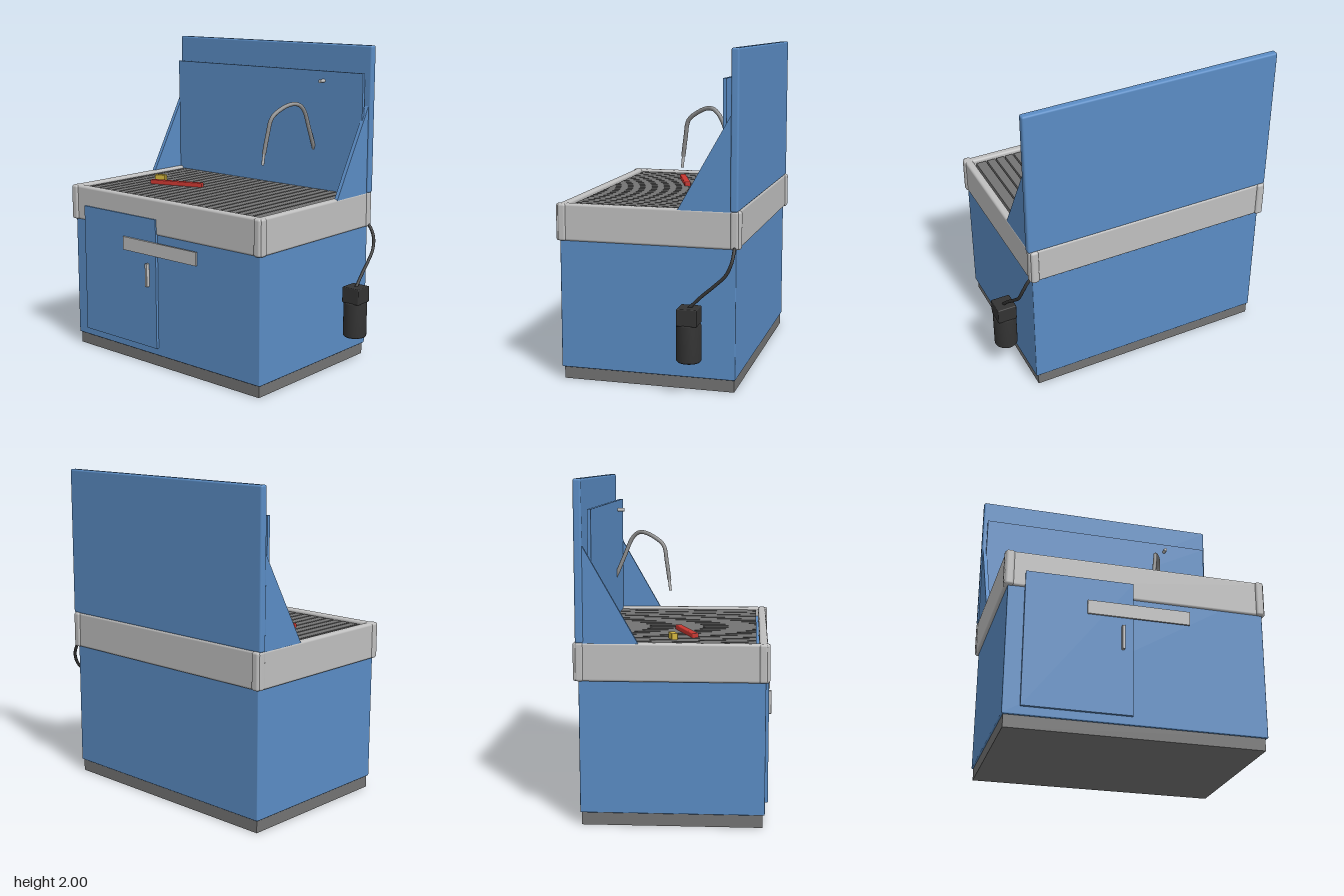
import * as THREE from 'three';
import { RoundedBoxGeometry } from 'three/addons/geometries/RoundedBoxGeometry.js';

const mat = (name, color) => {
  const m = new THREE.MeshStandardMaterial({ color });
  m.name = name;
  return m;
};

export function createModel() {
  const blue = mat('blue panel', 0x5a8cc4);
  const steel = mat('light grey', 0xbfbfbf);
  const grey = mat('dark grey', 0x737373);
  const hoseGrey = mat('hose grey', 0x8f8f8f);
  const black = mat('black', 0x333333);
  const red = mat('red', 0xc83630);
  const yellow = mat('yellow', 0xd2b43c);

  const model = new THREE.Group();
  model.name = 'partsWasher';

  const add = (name, geometry, material) => {
    const mesh = new THREE.Mesh(geometry, material);
    mesh.name = name;
    model.add(mesh);
    return mesh;
  };
  // Box from its limits, with optional rounded edges
  const box = (name, material, [x0, x1], [y0, y1], [z0, z1], r = 0) => {
    const size = [x1 - x0, y1 - y0, z1 - z0];
    const g = r ? new RoundedBoxGeometry(...size, 3, r) : new THREE.BoxGeometry(...size);
    const mesh = add(name, g, material);
    mesh.position.set((x0 + x1) / 2, (y0 + y1) / 2, (z0 + z1) / 2);
    return mesh;
  };
  const tube = (name, material, points, r) => {
    const curve = new THREE.CatmullRomCurve3(points.map((p) => new THREE.Vector3(...p)));
    return add(name, new THREE.TubeGeometry(curve, 48, r, 12), material);
  };

  // Cabinet
  box('plinth', grey, [-0.85, 0.695], [0, 0.08], [-0.535, 0.515]);
  box('cabinet', blue, [-0.86, 0.71], [0.075, 1.02], [-0.543, 0.528], 0.006);
  box('door', blue, [-0.76, -0.112], [0.125, 0.955], [0.525, 0.546]);
  box('doorHandle', steel, [-0.185, -0.167], [0.52, 0.67], [0.546, 0.572], 0.004);
  box('frontPlate', steel, [-0.39, 0.235], [0.725, 0.81], [0.546, 0.558]);

  // Rim of crossing boards
  const rimY = [0.855, 1.08];
  box('frontRail', steel, [-0.885, 0.73], rimY, [0.487, 0.537], 0.015);
  box('backRail', steel, [-0.885, 0.73], rimY, [-0.56, -0.51], 0.015);
  box('rightRail', steel, [-0.88, -0.828], rimY, [-0.572, 0.55], 0.015);
  box('leftRail', steel, [0.672, 0.722], rimY, [-0.572, 0.55], 0.015);

  // Tray and grate slats
  box('tray', steel, [-0.813, 0.657], [1.01, 1.035], [-0.51, 0.472]);
  const pitch = 0.0624, gap = 0.01, first = -0.785;
  for (let i = 0; i <= 23; i++) {
    const x0 = Math.max(-0.813, first + (i - 1) * pitch + gap / 2);
    const x1 = i === 23 ? 0.657 : first + i * pitch - gap / 2;
    box('grateSlat', grey, [x0, x1], [1.03, 1.065], [-0.5, 0.472]);
  }

  // Splash back and side wings
  box('backBoard', blue, [-0.885, 0.735], [1.075, 2], [-0.557, -0.51], 0.012);
  box('innerPanel', blue, [-0.86, 0.708], [1.04, 1.83], [-0.48, -0.46]);
  const wingShape = new THREE.Shape([
    new THREE.Vector2(-0.515, 1.07),
    new THREE.Vector2(-0.195, 1.07),
    new THREE.Vector2(-0.515, 1.635),
  ]);
  for (const [name, x] of [['rightWing', -0.852], ['leftWing', 0.72]]) {
    const wing = add(name, new THREE.ExtrudeGeometry(wingShape, { depth: 0.025, bevelEnabled: false }), blue);
    wing.rotation.y = -Math.PI / 2;
    wing.position.x = x;
  }

  // Switch knob on the panel
  const knob = add('knob', new THREE.CylinderGeometry(0.011, 0.011, 0.05, 16), steel);
  knob.rotation.x = Math.PI / 2;
  knob.position.set(0.41, 1.768, -0.44);

  // Flexible spout and nozzle
  tube('spout', hoseGrey, [
    [0.327, 1.26, -0.505], [0.333, 1.34, -0.463], [0.335, 1.46, -0.41], [0.333, 1.585, -0.355],
    [0.32, 1.622, -0.315], [0.295, 1.625, -0.27], [0.265, 1.595, -0.2], [0.245, 1.545, -0.14],
    [0.23, 1.44, -0.118], [0.217, 1.32, -0.1],
  ], 0.013);
  tube('nozzle', steel, [[0.218, 1.335, -0.102], [0.215, 1.29, -0.097], [0.213, 1.25, -0.093]], 0.009);

  // Things lying on the grate
  const bar = box('redBrushHandle', red, [-0.588, -0.218], [1.062, 1.092], [0.03, 0.07], 0.006);
  bar.rotation.y = 0.345;
  const block = box('yellowBlock', yellow, [-0.652, -0.578], [1.062, 1.102], [-0.036, 0.002], 0.004);
  block.rotation.y = 0.345;

  // Hanging pump with cable
  const can = add('pumpCan', new THREE.LatheGeometry([
    [0, 0.205], [0.066, 0.205], [0.073, 0.213], [0.073, 0.422], [0.066, 0.43], [0, 0.43],
  ].map(([r, y]) => new THREE.Vector2(r, y)), 32), black);
  can.position.set(0.807, 0, -0.29);
  box('pumpHead', black, [0.747, 0.869], [0.425, 0.527], [-0.351, -0.229], 0.006);
  tube('cable', black, [
    [0.7, 0.88, -0.535], [0.735, 0.855, -0.537], [0.77, 0.79, -0.53], [0.786, 0.72, -0.5],
    [0.795, 0.66, -0.44], [0.803, 0.59, -0.36], [0.809, 0.52, -0.29],
  ], 0.01);

  return model;
}
